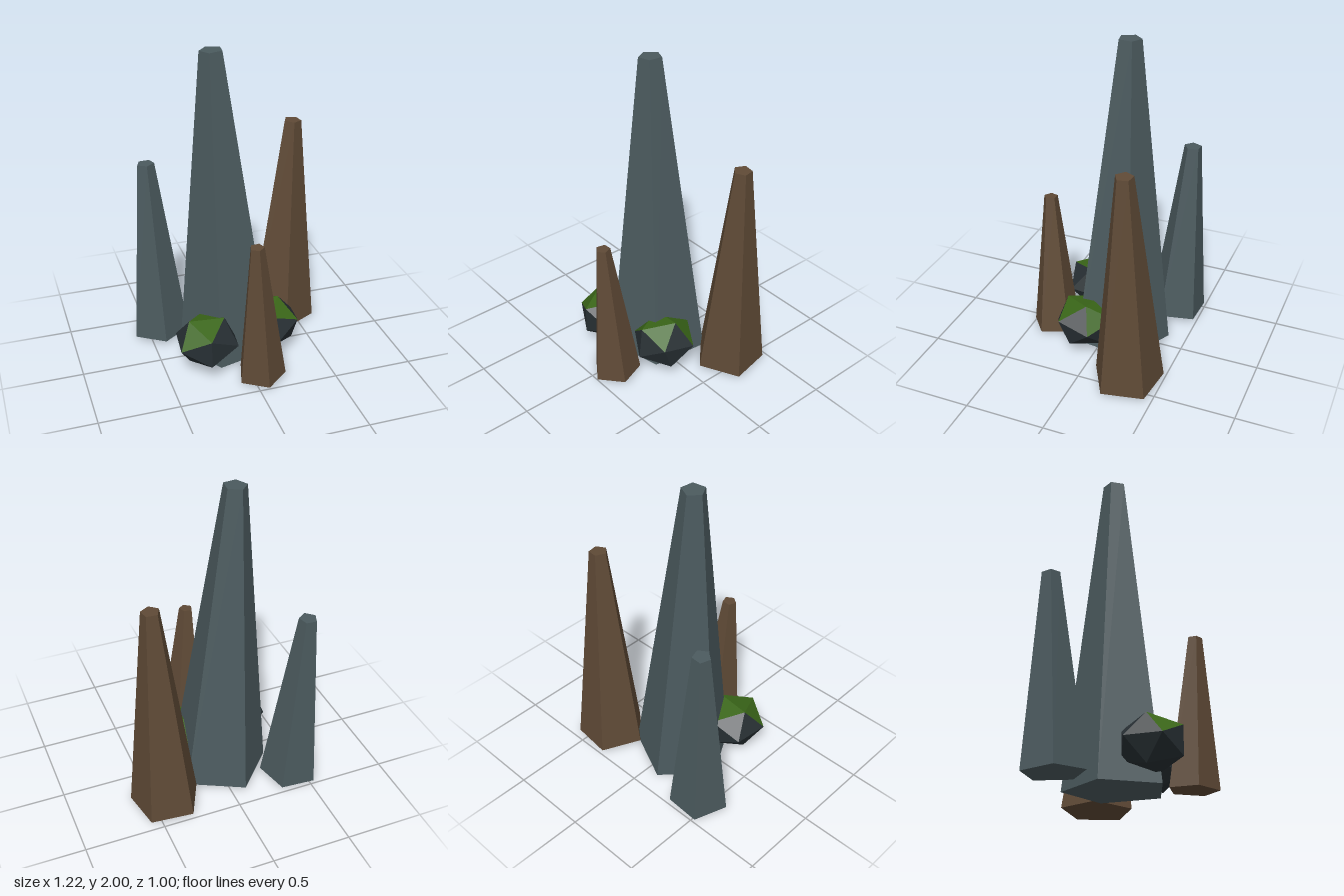
import * as THREE from 'three';

const SLATE = 0x4b5a5e, BROWN = 0x5f4a36, GREEN = 0x3a6618, DARK = 0x272f33;
const rad = THREE.MathUtils.degToRad;
const mat = (color) => new THREE.MeshStandardMaterial({ color, flatShading: true });

// Five-sided tapered pillar leaning from its base centre to its tip centre
function pillar(name, color, base, tip, rBase, rTip, turn) {
  const a = new THREE.Vector3(...base), b = new THREE.Vector3(...tip);
  const axis = b.clone().sub(a);
  const geo = new THREE.CylinderGeometry(rTip, rBase, axis.length(), 5, 1, false, rad(turn));
  const mesh = new THREE.Mesh(geo, mat(color));
  mesh.name = name;
  mesh.position.copy(a).add(b).multiplyScalar(0.5);
  mesh.quaternion.setFromUnitVectors(new THREE.Vector3(0, 1, 0), axis.normalize());
  return mesh;
}

// Squashed 20-sided boulder; the listed faces are mossy, the rest bare
function boulder(name, center, radius, squash, orient, mossFaces) {
  const group = new THREE.Group();
  group.name = name;
  group.position.set(...center);
  const solid = new THREE.IcosahedronGeometry(radius, 0);
  orient(solid);
  solid.scale(1, squash, 1);
  const pos = solid.getAttribute('position').array;
  for (const mossy of [true, false]) {
    const verts = [];
    for (let f = 0; f < 20; f++) {
      if (mossFaces.includes(f) === mossy) verts.push(...pos.slice(f * 9, f * 9 + 9));
    }
    const geo = new THREE.BufferGeometry();
    geo.setAttribute('position', new THREE.Float32BufferAttribute(verts, 3));
    geo.computeVertexNormals();
    const mesh = new THREE.Mesh(geo, mat(mossy ? GREEN : DARK));
    mesh.name = mossy ? 'moss' : 'stone';
    group.add(mesh);
  }
  return group;
}

export function createModel() {
  const model = new THREE.Group();
  model.name = 'rockSpires';

  // Spires
  model.add(
    pillar('tallSpire', SLATE, [-0.03, 0.015, -0.075], [-0.118, 1.995, -0.08], 0.315, 0.072, 47.6),
    pillar('backSlateSpire', SLATE, [-0.419, 0.025, -0.335], [-0.465, 1.215, -0.378], 0.187, 0.056, 70),
    pillar('backBrownSpire', BROWN, [0.415, 0.025, -0.295], [0.467, 1.43, -0.28], 0.224, 0.056, 64.5),
    pillar('frontBrownSpire', BROWN, [0.056, 0.02, 0.35], [0.008, 0.94, 0.39], 0.154, 0.044, 73.5),
  );

  // Mossy boulder with an edge on top
  model.add(boulder('rightBoulder', [-0.24, 0.215, 0.17], 0.21, 0.81,
    (g) => g.rotateY(rad(-6)), [0, 1, 2]));

  // Mossy boulder with a corner near the top
  model.add(boulder('leftBoulder', [0.2, 0.21, 0.075], 0.205, 0.8,
    (g) => g.rotateZ(rad(31.7)).rotateY(Math.PI).rotateZ(rad(-22.6)).rotateY(rad(25.2)),
    [1, 5, 9, 14, 19]));

  return model;
}
